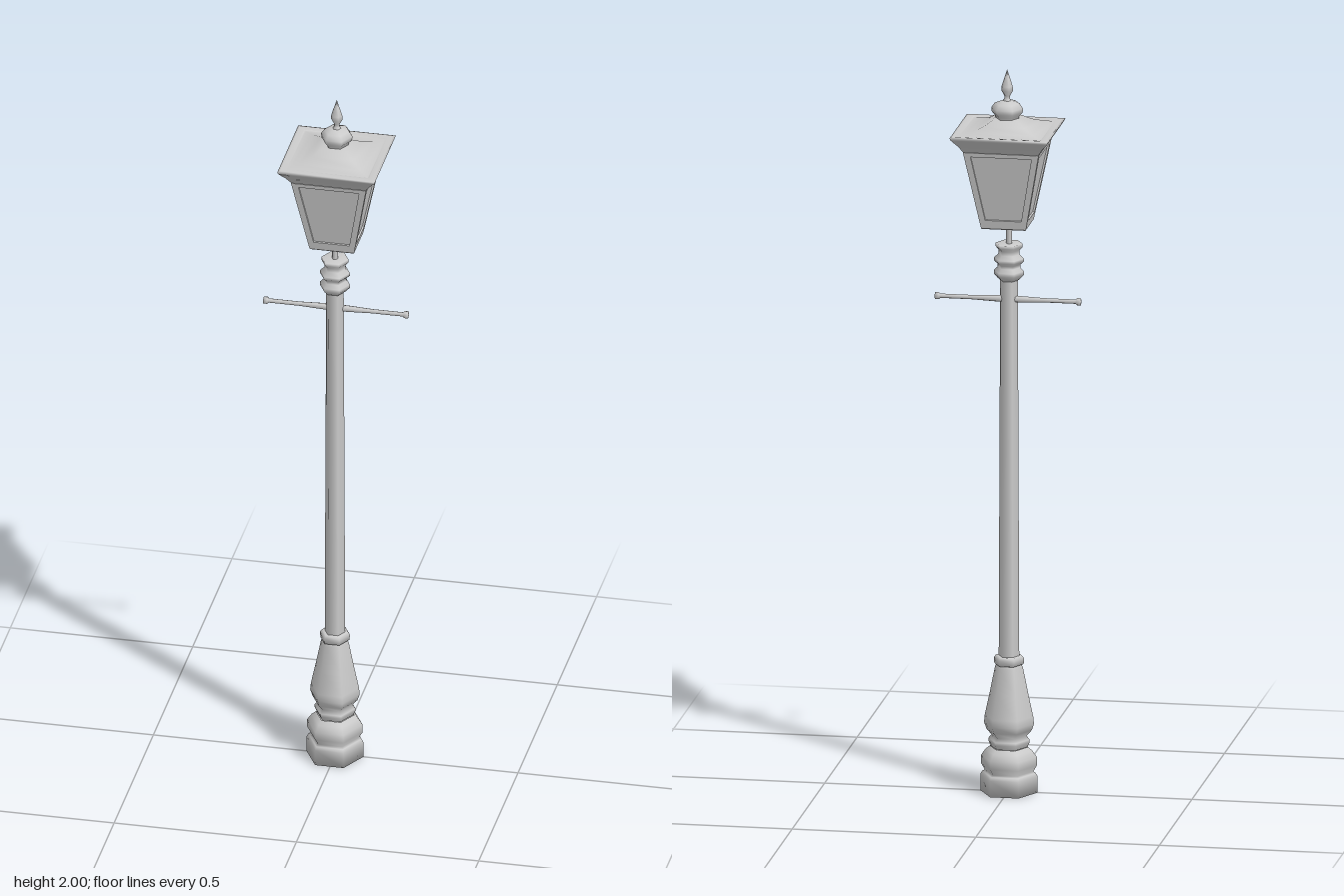
import * as THREE from 'three';

export function createModel() {
  const root = new THREE.Group();
  root.name = 'streetLamp';
  const grey = new THREE.MeshStandardMaterial({ color: 0xcccccc, side: THREE.DoubleSide });

  const add = (parent, name, geometry) => {
    const mesh = new THREE.Mesh(geometry, grey);
    mesh.name = name;
    parent.add(mesh);
    return mesh;
  };
  const points = (profile, k = 1) => profile.map(([r, y]) => new THREE.Vector2(r * k, y));
  // Six-sided turned part, corners on the x axis, slightly deeper in z
  const hexTurned = (parent, name, profile) => {
    const g = new THREE.LatheGeometry(points(profile), 6, Math.PI / 2);
    g.scale(1, 1, 1.07);
    return add(parent, name, g);
  };
  // Square part whose profile gives the half width of its sides
  const squareTurned = (parent, name, profile) =>
    add(parent, name, new THREE.LatheGeometry(points(profile, Math.SQRT2), 4, Math.PI / 4));

  // Post
  const post = new THREE.Group();
  post.name = 'post';
  post.position.x = -0.002;
  root.add(post);
  hexTurned(post, 'plinth', [
    [0, 0], [0.078, 0], [0.078, 0.045], [0.073, 0.054], [0.066, 0.058],
    [0.076, 0.075], [0.076, 0.098], [0.064, 0.115], [0.052, 0.125],
  ]);
  hexTurned(post, 'vase', [
    [0.05, 0.125], [0.056, 0.138], [0.056, 0.146], [0.048, 0.156], [0.062, 0.172],
    [0.068, 0.19], [0.066, 0.21], [0.052, 0.275], [0.038, 0.345], [0.033, 0.355],
  ]);
  hexTurned(post, 'shaftCollar', [
    [0.03, 0.35], [0.04, 0.354], [0.041, 0.37], [0.036, 0.377], [0.027, 0.377],
  ]);
  hexTurned(post, 'shaft', [[0.028, 0.37], [0.024, 1.43]]);
  hexTurned(post, 'capital', [
    [0.023, 1.415], [0.03, 1.42], [0.041, 1.432], [0.041, 1.442], [0.031, 1.452],
    [0.031, 1.46], [0.041, 1.469], [0.041, 1.477], [0.029, 1.488], [0.029, 1.5],
    [0.037, 1.509], [0.037, 1.518], [0, 1.518],
  ]);
  hexTurned(post, 'lanternStem', [[0.008, 1.51], [0.008, 1.58]]);

  // Ladder bar with an end knob on each side
  for (const side of [-1, 1]) {
    const arm = add(root, side > 0 ? 'leftLadderBar' : 'rightLadderBar',
      new THREE.LatheGeometry(points([
        [0.009, 0], [0.009, 0.03], [0.006, 0.1], [0.006, 0.184],
        [0.01, 0.188], [0.01, 0.198], [0, 0.2],
      ]), 8));
    arm.position.set(0, 1.365, -0.004);
    arm.rotation.z = -side * Math.PI / 2;
  }

  // Lantern
  const lantern = new THREE.Group();
  lantern.name = 'lantern';
  lantern.position.set(0.002, 0, -0.002);
  root.add(lantern);

  const low = 0.061, high = 0.103, bottom = 1.572, top = 1.79;
  const slope = Math.hypot(top - bottom, high - low);
  const tilt = Math.atan2(high - low, top - bottom);
  const trapezoid = (Kind, w0, v0, w1, v1) => {
    const s = new Kind();
    s.moveTo(-w0, v0).lineTo(w0, v0).lineTo(w1, v1).lineTo(-w1, v1).closePath();
    return s;
  };
  const frame = trapezoid(THREE.Shape, low, 0, high, slope);
  frame.holes.push(trapezoid(THREE.Path, 0.049, 0.024, 0.083, slope - 0.012));
  const frameGeometry = new THREE.ExtrudeGeometry(frame, { depth: 0.006, bevelEnabled: false });
  frameGeometry.translate(0, 0, -0.006);
  const paneGeometry = new THREE.ShapeGeometry(
    trapezoid(THREE.Shape, 0.054, 0.014, 0.09, slope - 0.006));
  paneGeometry.translate(0, 0, -0.005);

  // Four leaning walls: a frame with a recessed pane
  for (let i = 0; i < 4; i++) {
    const wall = new THREE.Group();
    wall.name = 'wall' + (i + 1);
    wall.rotation.y = i * Math.PI / 2;
    lantern.add(wall);
    for (const mesh of [add(wall, 'frame', frameGeometry), add(wall, 'pane', paneGeometry)]) {
      mesh.position.set(0, bottom, low);
      mesh.rotation.x = tilt;
    }
  }
  squareTurned(lantern, 'floor', [[0, 1.57], [0.059, 1.57], [0.061, 1.573]]);

  // Flared cornice and hipped roof
  squareTurned(lantern, 'cornice', [
    [0.1, 1.788], [0.105, 1.795], [0.115, 1.81], [0.131, 1.829], [0.134, 1.836],
    [0.128, 1.838], [0.113, 1.836],
  ]);
  squareTurned(lantern, 'roof', [
    [0.113, 1.836], [0.108, 1.834], [0.085, 1.84], [0.055, 1.852], [0.034, 1.866], [0, 1.868],
  ]);

  // Finial
  const finial = new THREE.Group();
  finial.name = 'finial';
  finial.position.z = -0.003;
  lantern.add(finial);
  hexTurned(finial, 'finialKnob', [
    [0.03, 1.86], [0.033, 1.872], [0.042, 1.882], [0.043, 1.894],
    [0.034, 1.907], [0.016, 1.914], [0, 1.916],
  ]);
  hexTurned(finial, 'finialSpike', [
    [0.015, 1.91], [0.008, 1.919], [0.008, 1.928], [0.016, 1.942],
    [0.015, 1.954], [0.008, 1.976], [0, 2],
  ]);
  return root;
}
